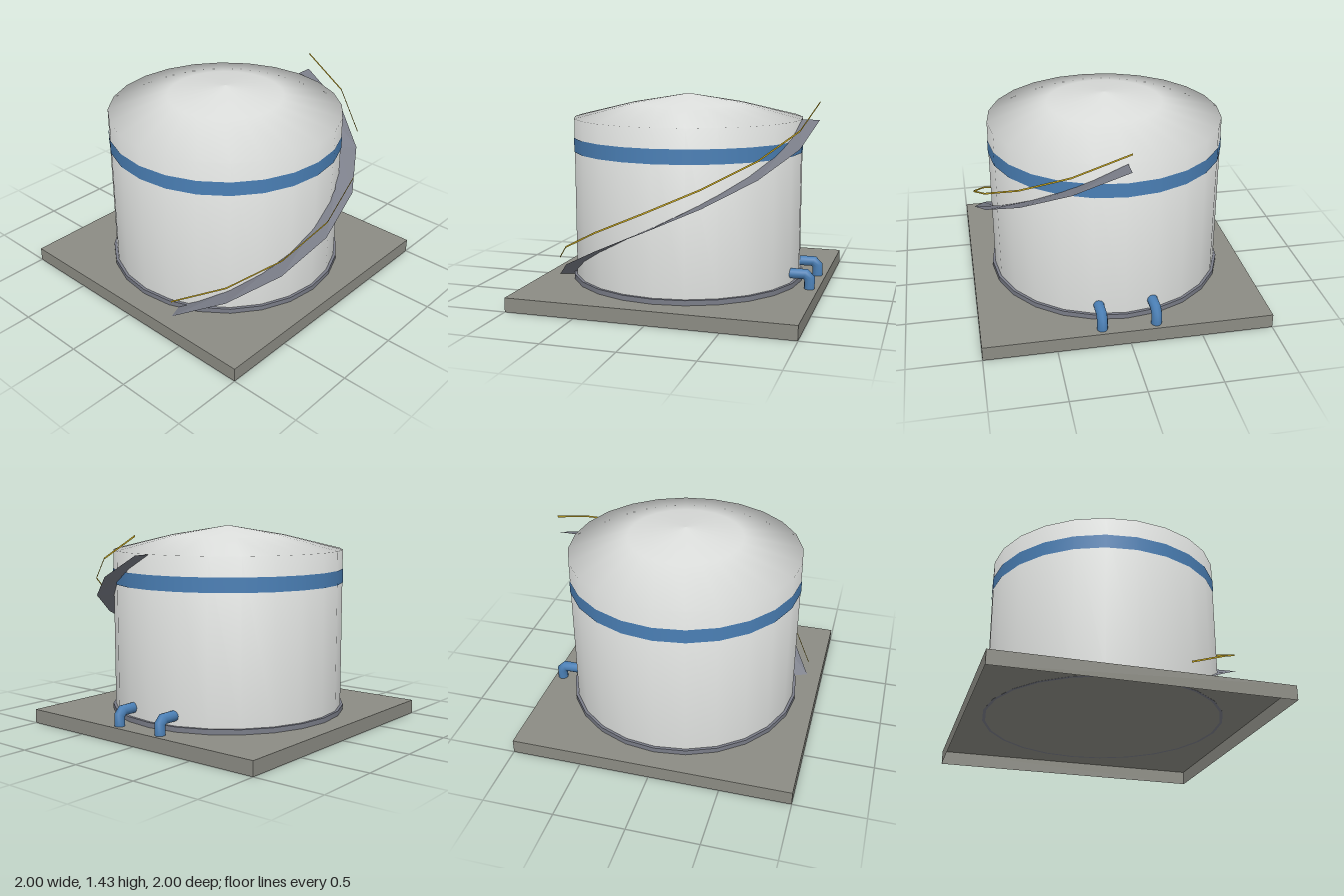
import * as THREE from 'three';

const SIDES = 24;
const mat = (name, color, side = THREE.FrontSide) => {
  const m = new THREE.MeshStandardMaterial({ color, side });
  m.name = name;
  return m;
};

// Join rows of points into a surface; closed rows wrap around into a tube
function loft(rows, closed = false) {
  const n = rows[0].length, index = [];
  for (let i = 0; i < rows.length - 1; i++) {
    for (let j = 0; j < (closed ? n : n - 1); j++) {
      const k = (j + 1) % n, a = i * n, b = a + n;
      index.push(a + j, a + k, b + j, a + k, b + k, b + j);
    }
  }
  const geo = new THREE.BufferGeometry().setFromPoints(rows.flat());
  geo.setIndex(index);
  geo.computeVertexNormals();
  return geo;
}

// Flat facets for a lofted sheet
function faceted(geo) {
  const flat = geo.toNonIndexed();
  flat.computeVertexNormals();
  return flat;
}

export function createModel() {
  const model = new THREE.Group();
  model.name = 'storageTank';
  const concrete = mat('concrete', 0x8c8c84, THREE.DoubleSide);
  const white = mat('white paint', 0xdcdedc, THREE.DoubleSide);
  const blue = mat('blue paint', 0x4a7fb5);
  const steel = mat('grey steel', 0x7a7d88, THREE.DoubleSide);
  const yellow = mat('yellow paint', 0xc9a820, THREE.DoubleSide);

  const add = (name, geo, material, parent = model) => {
    const mesh = new THREE.Mesh(geo, material);
    mesh.name = name;
    parent.add(mesh);
    return mesh;
  };

  // Foundation slab, open underneath
  const slab = new THREE.BoxGeometry(2, 0.1, 2).translate(0, 0.05, 0);
  slab.setIndex([...slab.index.array].filter((_, i) => i < 18 || i > 23));
  slab.clearGroups();
  add('foundation', slab, concrete);

  // Shell and shallow domed roof as one smooth turned surface
  const profile = [[0.83, 0.1], [0.83, 1.265], [0.41, 1.367], [0, 1.435]];
  add('tankShell', new THREE.LatheGeometry(
    profile.map(([x, y]) => new THREE.Vector2(x, y)), SIDES), white);

  // Painted band
  add('blueBand', new THREE.CylinderGeometry(0.834, 0.834, 0.1, SIDES, 1, true)
    .translate(0, 1.08, 0), blue);

  // Base ring around the foot of the shell
  const baseRing = new THREE.Group();
  baseRing.name = 'baseRing';
  model.add(baseRing);
  add('ringWall', new THREE.CylinderGeometry(0.85, 0.85, 0.036, SIDES, 1, true)
    .translate(0, 0.117, 0), steel, baseRing);
  for (const [name, y, turn] of [['ringTop', 0.135, -1], ['ringBottom', 0.099, 1]]) {
    add(name, new THREE.RingGeometry(0.83, 0.85, SIDES, 1)
      .rotateX(turn * Math.PI / 2).translate(0, y, 0), steel, baseRing);
  }

  // Spiral stair and its handrail, climbing around the front to the left side
  const steps = 7, sweep = THREE.MathUtils.degToRad(160);
  const stairRows = [], railRows = [];
  for (let i = 0; i <= steps; i++) {
    const a = sweep * (1 - i / steps), y = 0.1 + 1.165 * i / steps;
    const at = (r, h) => new THREE.Vector3(r * Math.cos(a), h, r * Math.sin(a));
    stairRows.push([at(0.83, y), at(0.955, y)]);
    railRows.push([at(0.955, y + 0.132), at(0.955, y + 0.119)]);
  }
  add('spiralStair', faceted(loft(stairRows)), steel);
  add('handrail', faceted(loft(railRows)), yellow);

  // Two outlet pipes, each with a mitred elbow: x, y, tilt of the cut, stretch
  const elbow = [[0.8, 0.202, 0, 1], [0.909, 0.202, 22.5, 1.08],
    [0.938, 0.173, 67.5, 1.08], [0.938, 0.1, 90, 1]];
  const pipeRows = elbow.map(([x, y, tilt, stretch]) => {
    const t = THREE.MathUtils.degToRad(tilt), r = 0.037;
    return Array.from({ length: 12 }, (_, j) => {
      const a = j * Math.PI / 6, d = r * stretch * Math.cos(a);
      return new THREE.Vector3(x + d * Math.sin(t), y + d * Math.cos(t), r * Math.sin(a));
    });
  });
  const pipe = loft(pipeRows, true);
  for (const [name, z] of [['frontPipe', 0.187], ['rearPipe', -0.187]]) {
    add(name, pipe, blue).position.z = z;
  }

  return model;
}
